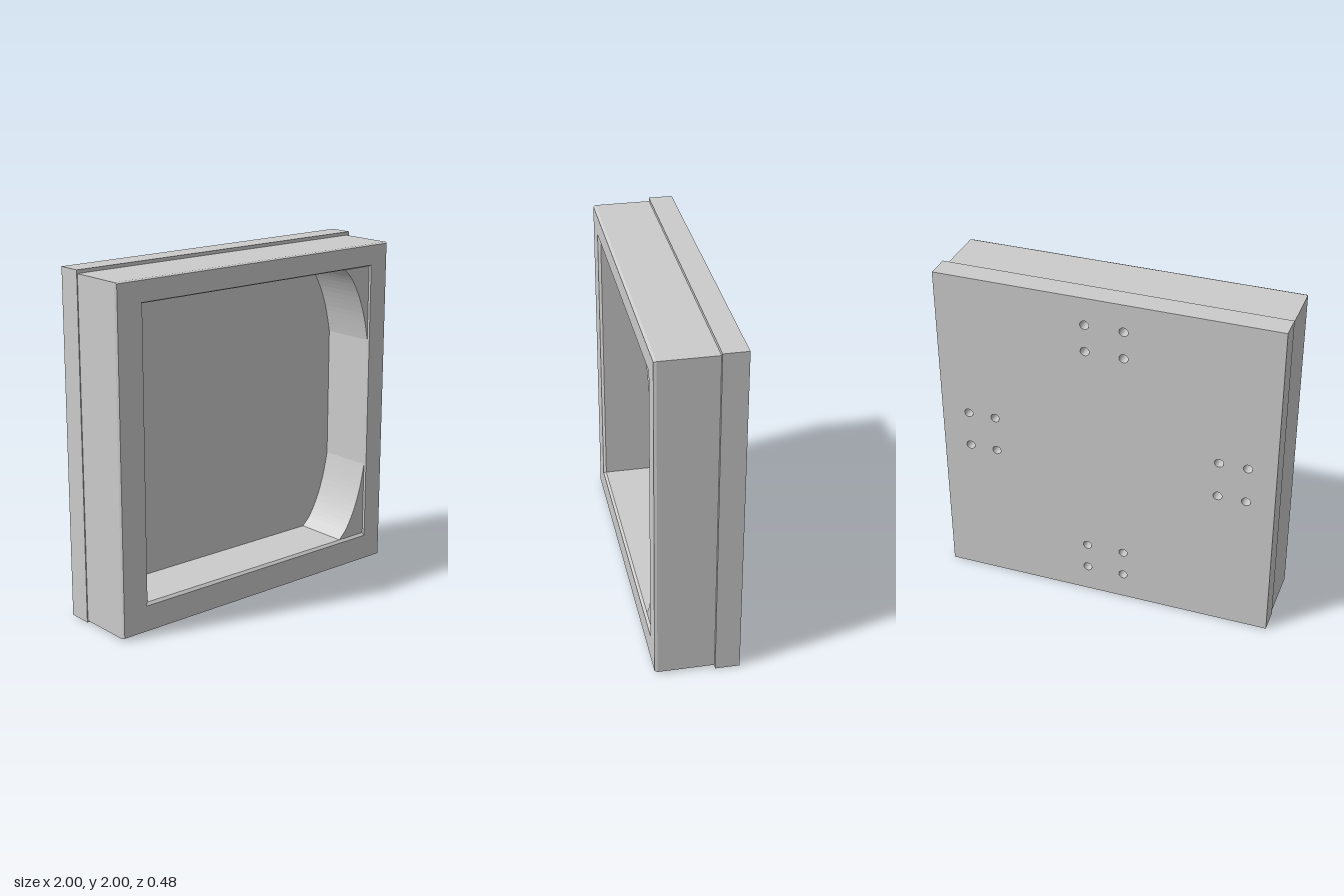
import * as THREE from 'three';

const material = new THREE.MeshStandardMaterial({ color: 0xcccccc, flatShading: true });

function rect(x0, y0, x1, y1, Type = THREE.Shape) {
  return new Type([[x0, y0], [x1, y0], [x1, y1], [x0, y1]].map(([x, y]) => new THREE.Vector2(x, y)));
}

function extrude(shape, z0, z1, curveSegments = 16) {
  const geo = new THREE.ExtrudeGeometry(shape, { depth: z1 - z0, bevelEnabled: false, curveSegments });
  return geo.translate(0, 0, z0);
}

export function createModel() {
  const group = new THREE.Group();
  const add = (name, geo) => {
    const mesh = new THREE.Mesh(geo, material);
    mesh.name = name;
    group.add(mesh);
  };

  // Back plate: drilled rear layer with four clusters of blind holes
  const drilled = rect(-1, 0, 1, 2);
  for (let side = 0; side < 4; side++) {
    const a = side * Math.PI / 2, c = Math.cos(a), s = Math.sin(a);
    for (const r of [0.67, 0.835]) {
      for (const t of [-0.112, 0.112]) {
        const hole = new THREE.Path();
        hole.absarc(r * c - t * s, 1 + r * s + t * c, 0.026, 0, Math.PI * 2, true);
        drilled.holes.push(hole);
      }
    }
  }
  add('drilledBackPlate', extrude(drilled, -0.24, -0.14));
  add('backPlateFloor', new THREE.BoxGeometry(2, 2, 0.04).translate(0, 1, -0.12));

  // Frame body: opening is square on the left and bowed on the right
  const L = -0.995, R = 0.98, B = 0.01, T = 1.98, zLip = 0.225, zFront = 0.24;
  const mid = 1.015;
  const bow = [[0.65, 0.835], [0.7, 0.785], [0.76, 0.685], [0.81, 0.555], [0.838, 0.44], [0.848, 0.39]];
  const upper = new THREE.CatmullRomCurve3(bow.map(([x, y]) => new THREE.Vector3(x, y, 0))).getPoints(20);
  const opening = [
    new THREE.Vector2(-0.82, mid - 0.835),
    ...upper.map(p => new THREE.Vector2(p.x, mid - p.y)),
    ...upper.slice().reverse().map(p => new THREE.Vector2(p.x, mid + p.y)),
    new THREE.Vector2(-0.82, mid + 0.835),
  ];
  const body = rect(L, B, R, T);
  body.holes.push(new THREE.Path(opening));
  add('frameBody', extrude(body, -0.1, zLip));

  // Front lip: square opening with a chamfer inside and a fine chamfer outside
  const lip = rect(L, B, R, T);
  lip.holes.push(rect(-0.84, 0.165, 0.85, 1.857, THREE.Path));
  const lipGeo = extrude(lip, zLip, zFront);
  const p = lipGeo.attributes.position;
  for (let i = 0; i < p.count; i++) {
    const x = p.getX(i), y = p.getY(i), front = p.getZ(i) > zLip + 0.005;
    const inner = Math.abs(x) < 0.9;
    if (inner && !front) {
      p.setXY(i, x < 0 ? -0.82 : 0.848, y < 1 ? 0.18 : 1.85);
    } else if (!inner && front) {
      p.setXY(i, x - Math.sign(x) * 0.006, y + (y < 1 ? 0.006 : -0.006));
    }
  }
  lipGeo.computeVertexNormals();
  add('frameLip', lipGeo);

  return group;
}
